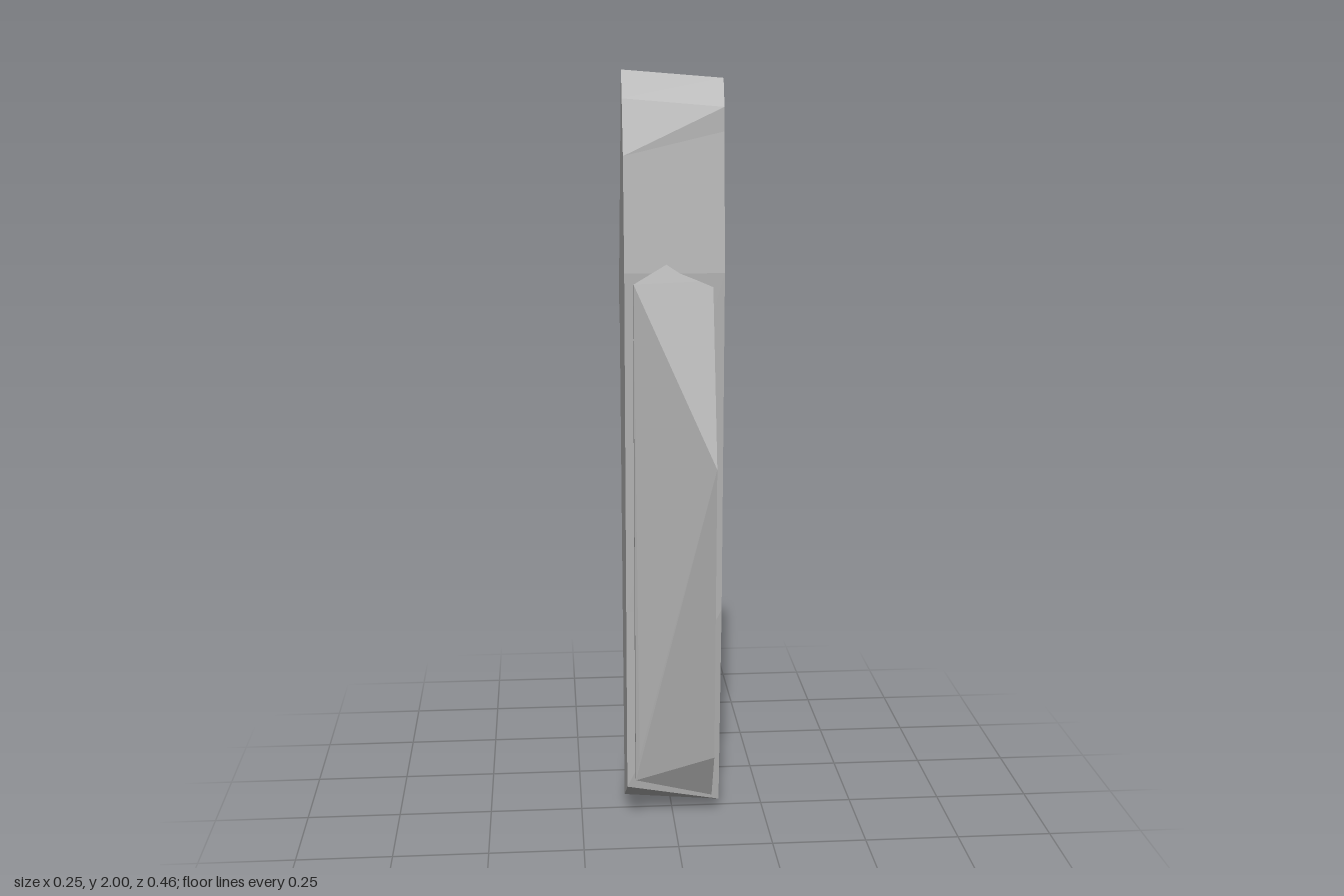
import * as THREE from 'three';
import { toCreasedNormals } from 'three/addons/utils/BufferGeometryUtils.js';
import { ConvexGeometry } from 'three/addons/geometries/ConvexGeometry.js';

const W = 0.127;      // half width
const DEPTH = 0.03;   // thickness of the back cover

// Side outlines as [z, y], from the top ridge round the back, bottom and front
const leftOutline = [
  [0.04, 1.98], [-0.04, 1.975], [-0.065, 1.95], [-0.23, 1.73], [-0.228, 1.69], [-0.175, 1.35],
  [-0.17, 1.322], [-0.08, 0.002], [0.04, 0.035], [0.085, 0.6], [0.106, 1.5], [0.07, 1.85], [0.068, 1.91],
];
const rightOutline = [
  [-0.005, 2], [-0.007, 1.998], [-0.01, 1.995], [-0.2, 1.43], [-0.204, 1.4], [-0.173, 1.335],
  [-0.166, 1.262], [-0.08, 0.002], [0.085, 0.1], [0.085, 0.6], [0.095, 1.5], [0.065, 1.79], [0.022, 1.93],
];
const pivotHoles = [[0, 1.915], [-0.1, 1.47]];
const HOLE_R = 0.032;

export function createModel() {
  const model = new THREE.Group();
  const grey = new THREE.MeshStandardMaterial({ color: 0xb2b2b2 });
  const greyInside = new THREE.MeshStandardMaterial({ color: 0xb2b2b2, side: THREE.DoubleSide });

  const add = (parent, name, geometry, material = grey) => {
    const mesh = new THREE.Mesh(geometry, material);
    mesh.name = name;
    parent.add(mesh);
    return mesh;
  };

  // Body skin stretched between the two side outlines
  const skin = [];
  const n = leftOutline.length;
  for (let i = 0; i < n; i++) {
    const j = (i + 1) % n;
    const at = (outline, k, x) => [x, outline[k][1], outline[k][0]];
    const a = at(rightOutline, i, -W), b = at(leftOutline, i, W);
    const c = at(leftOutline, j, W), d = at(rightOutline, j, -W);
    skin.push(...a, ...b, ...c, ...a, ...c, ...d);
  }
  const skinGeometry = new THREE.BufferGeometry();
  skinGeometry.setAttribute('position', new THREE.Float32BufferAttribute(skin, 3));
  skinGeometry.computeVertexNormals();
  add(model, 'bodySkin', skinGeometry);

  // Flat sides; only the left one is drilled
  const side = (name, outline, s) => {
    const shape = new THREE.Shape(outline.map(([z, y]) => new THREE.Vector2(-s * z, y)));
    if (s > 0) {
      for (const [z, y] of pivotHoles) {
        const hole = new THREE.Path();
        hole.absarc(-z, y, HOLE_R, 0, Math.PI * 2, true);
        shape.holes.push(hole);
      }
    }
    const geometry = new THREE.ShapeGeometry(shape, 16);
    geometry.rotateY(s * Math.PI / 2).translate(s * W, 0, 0);
    add(model, name, geometry);
  };
  side('leftSide', leftOutline, 1);
  side('rightSide', rightOutline, -1);

  // Walls and floors of the drilled holes
  for (const [z, y] of pivotHoles) {
    const wall = new THREE.CylinderGeometry(HOLE_R, HOLE_R, 0.1, 24, 1, true);
    wall.rotateZ(Math.PI / 2).translate(W - 0.05, y, z);
    add(model, 'holeWall', wall, greyInside);
    const floor = new THREE.CircleGeometry(HOLE_R, 24);
    floor.rotateY(Math.PI / 2).translate(W - 0.1, y, z);
    add(model, 'holeFloor', floor);
  }

  // Faceted bulge on the front
  const bulge = new ConvexGeometry([
    [-0.015, 1.525, 0.096], [-0.105, 1.475, 0.118], [0.098, 1.48, 0.1], [0.098, 1.02, 0.23],
    [-0.105, 0.13, 0.112], [-0.095, 0.2, 0.12], [0.107, 0.19, 0.115], [0.107, 0.05, 0.045],
    [-0.105, 1.45, 0.03], [0.1, 1.45, 0.03], [-0.105, 0.13, 0.03], [0.1, 0.06, 0.03],
  ].map((p) => new THREE.Vector3(...p)));
  add(model, 'frontBulge', bulge);

  // Back cover, tilted; inside this group +z points out of the back
  const back = new THREE.Group();
  back.name = 'backCover';
  back.position.z = -0.11;
  back.rotation.set(-0.068, Math.PI, 0);
  model.add(back);

  // Plate with a long slot that has a rounded top
  const plate = new THREE.Shape([[-0.1, 0], [0.1, 0], [0.1, 1.269], [-0.1, 1.317]]
    .map((p) => new THREE.Vector2(...p)));
  const slot = new THREE.Path();
  slot.moveTo(-0.082, 0.06);
  slot.lineTo(-0.082, 1.14);
  slot.absellipse(0, 1.14, 0.082, 0.075, Math.PI, 0, true);
  slot.lineTo(0.082, 0.06);
  slot.closePath();
  plate.holes.push(slot);
  const plateGeometry = new THREE.ExtrudeGeometry(plate, { depth: DEPTH, bevelEnabled: false, curveSegments: 12 });
  add(back, 'slottedPlate', plateGeometry.translate(0, 0, -DEPTH));

  // Rounded long edges on both sides of the plate
  for (const s of [-1, 1]) {
    const rail = new THREE.Shape();
    rail.moveTo(s * 0.1, DEPTH);
    rail.lineTo(s * 0.1, 0);
    for (let i = 1; i <= 6; i++) {
      const t = (i / 6) * Math.PI / 2;
      rail.lineTo(s * (0.1 + 0.027 * Math.sin(t)), DEPTH * (1 - Math.cos(t)));
    }
    const length = s > 0 ? 1.265 : 1.32;
    const geometry = new THREE.ExtrudeGeometry(rail, { depth: length, bevelEnabled: false });
    add(back, 'roundedEdge', toCreasedNormals(geometry.rotateX(-Math.PI / 2), 0.6));
  }

  // Faceted catches in the slot
  const catchPiece = (name, y, width, height, top) => {
    const geometry = new THREE.CylinderGeometry(0.5, 0.85, 1, 6).toNonIndexed();
    geometry.rotateX(Math.PI / 2).scale(width, height, DEPTH + top);
    geometry.translate(0, y, (top - DEPTH) / 2);
    geometry.computeVertexNormals();
    add(back, name, geometry);
  };
  catchPiece('upperCatch', 1.12, 0.07, 0.06, 0.004);
  catchPiece('lowerCatch', 0.54, 0.07, 0.05, 0.018);

  // Sloping facets along the slot floor
  for (const [y0, y1, s] of [[0.66, 1.03, 1], [0.27, 0.47, -1]]) {
    const wedge = new ConvexGeometry([
      [-0.08, y0, -0.031], [0.08, y0, -0.031], [-0.08, y1, -0.031], [0.08, y1, -0.031],
      [s * 0.075, y0 + 0.08, -0.012], [s * 0.03, y1 - 0.08, -0.018],
    ].map((p) => new THREE.Vector3(...p)));
    add(back, 'floorFacet', wedge);
  }

  // Grip ribs at the bottom of the slot
  for (let i = 0; i < 5; i++) {
    const rib = new THREE.BoxGeometry(0.11, 0.014, 0.016);
    add(back, 'gripRib', rib.translate(0, 0.09 + i * 0.036, -0.023));
  }

  return model;
}
